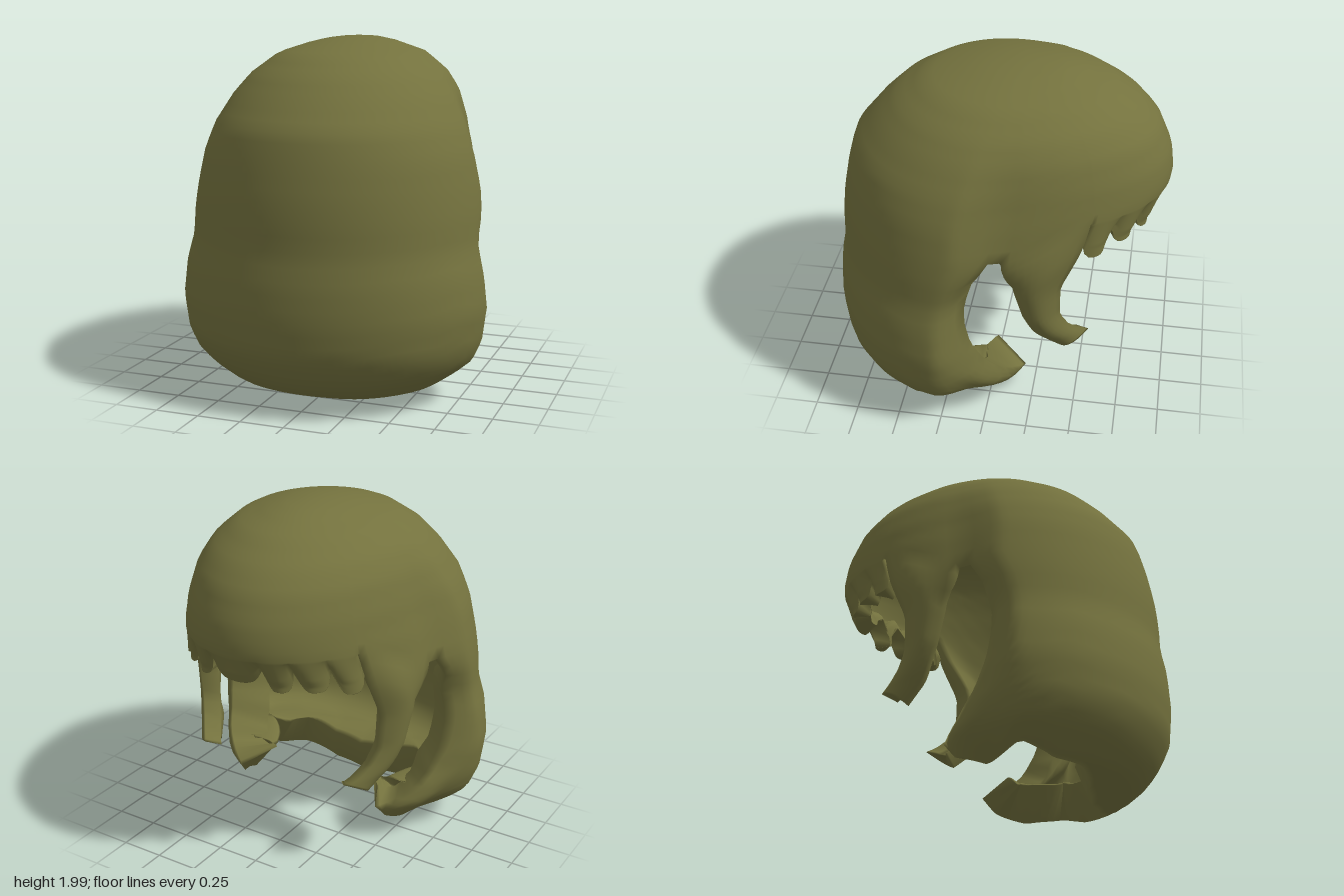
import * as THREE from 'three';

// Head outline by height: y, half width, back reach (+z), face reach (-z), centre z
const OUTLINE = [
  [2.0, 0, -0.12, -0.12, -0.12], [1.995, 0.11, 0.02, -0.29, -0.12], [1.97, 0.23, 0.19, -0.42, -0.08],
  [1.91, 0.41, 0.42, -0.6, -0.04], [1.8, 0.55, 0.59, -0.77, 0], [1.69, 0.64, 0.7, -0.87, 0.03],
  [1.53, 0.73, 0.83, -0.94, 0.07], [1.38, 0.785, 0.87, -0.96, 0.1], [1.2, 0.825, 0.905, -0.87, 0.1],
  [1.05, 0.845, 0.92, -0.86, 0.12], [0.9, 0.845, 0.92, -0.8, 0.15], [0.75, 0.88, 0.95, -0.75, 0.18],
  [0.55, 0.9, 0.96, -0.65, 0.2], [0.36, 0.875, 0.94, -0.5, 0.2], [0.25, 0.83, 0.88, -0.42, 0.2],
  [0.18, 0.75, 0.83, -0.4, 0.2], [0.1, 0.64, 0.74, -0.4, 0.2], [0.01, 0.48, 0.5, -0.4, 0.2],
];
// Side lock by height: y, centre z, half depth, half width of the head there
const SIDE_LOCK = [
  [1.3, -0.335, 0.225, 0.765], [1.2, -0.32, 0.2, 0.76], [0.95, -0.285, 0.125, 0.74],
  [0.75, -0.31, 0.1, 0.72], [0.66, -0.35, 0.105, 0.7], [0.6, -0.39, 0.12, 0.68], [0.56, -0.43, 0.135, 0.66], [0.46, -0.52, 0.12, 0.63],
];
// Front edge of the back hair: y, z
const BACK_EDGE = [[1.18, -0.04], [1.05, 0.05], [0.87, 0.1], [0.75, 0.1], [0.6, 0.07], [0.45, 0], [0.33, -0.1], [0.24, -0.21], [0.01, -0.19]];
// Lower hem of the back hair: fraction from side to middle, y
const BACK_HEM = [[0, 0.24], [0.06, 0.15], [0.2, 0.09], [0.35, 0.15], [0.48, 0.09], [0.62, 0.08], [0.8, 0.03], [1, 0.01]];
// Fringe locks: start angle, end angle, tip height
const FRINGE = [[-0.22, 0.22, 1.2], [0.22, 0.44, 1.17], [0.44, 0.68, 1.17], [0.68, 0.9, 1.14]];
const A_LOCK = 0.9, A_LOCK_END = 1.36, A_BACK = 1.43;
const UPPER = 22, LOWER = 20;
const { lerp, smoothstep } = THREE.MathUtils;

// Linear lookup in a table sorted by its first column, either way
function look(table, key, col) {
  const up = table[0][0] < table[table.length - 1][0] ? 1 : -1;
  if ((key - table[0][0]) * up <= 0) return table[0][col];
  for (let i = 1; i < table.length; i++) {
    const a = table[i - 1], b = table[i];
    if ((key - b[0]) * up <= 0) return lerp(a[col], b[col], (key - a[0]) / (b[0] - a[0]));
  }
  return table[table.length - 1][col];
}

// Point on the head, narrowed from the temples towards the face
function onHead(angle, y) {
  const [w, back, face, c] = [1, 2, 3, 4].map((k) => look(OUTLINE, y, k));
  const k = Math.cos(angle);
  const narrow = 1 - 0.1 * smoothstep(k, -0.1, 0.22) * (1 - smoothstep(y, 1.4, 1.9));
  return new THREE.Vector3(w * narrow * Math.sin(angle), y, c - k * (k > 0 ? c - face : back - c));
}

// Height at which the hair divides into locks
const splitY = (a) => 1.36 - 0.18 * smoothstep(a, 0.9, 1.36);

// Columns of one half, from the middle of the fringe round to the middle of the back
function halfColumns() {
  const cols = [];
  for (let i = 0; i <= 40; i++) {
    const a = (i / 40) * 0.885;
    const [s, e, tip] = FRINGE.find((f) => a < f[1]);
    const q = Math.abs((2 * (a - s)) / (e - s) - 1);
    cols.push({ kind: 'fringe', a, q, hem: lerp(tip, 1.29, q ** 4) });
  }
  for (let i = 0; i <= 10; i++) {
    const q = i / 5 - 1;
    cols.push({ kind: 'lock', a: lerp(A_LOCK, A_LOCK_END, i / 10), q, hem: 0.51 - 0.05 * q });
  }
  for (let i = 0; i <= 36; i++) {
    const f = i / 36;
    cols.push({ kind: 'back', a: lerp(A_BACK, Math.PI, f), f, hem: look(BACK_HEM, f, 1) });
  }
  return cols;
}

function columnPoint(col, y, t) {
  const head = onHead(col.a, y);
  if (t === 0) return head;
  if (col.kind === 'fringe') {
    // Each fringe lock swells in the middle and sinks at the gaps
    const swell = 1 + 0.05 * Math.min(1, t * 2) * (0.4 - col.q ** 2);
    head.x *= swell;
    head.z *= swell;
    return head;
  }
  if (col.kind === 'lock') {
    // Hanging lock sweeping towards the face, rounded across, blended in from the head
    const z = look(SIDE_LOCK, y, 1) + look(SIDE_LOCK, y, 2) * col.q;
    const x = look(SIDE_LOCK, y, 3) * Math.sqrt(1 - ((0.1 - z) / 1.06) ** 2) + 0.015 - 0.06 * col.q ** 2;
    return head.lerp(new THREE.Vector3(x, y, z), Math.min(1, t * 5));
  }
  // Back hair, its front edge following the face opening and rolling inwards
  const c = look(OUTLINE, y, 4), face = look(OUTLINE, y, 3);
  const start = Math.acos((c - look(BACK_EDGE, y, 1)) / (c - face));
  const p = onHead(lerp(start, Math.PI, col.f), y);
  p.x -= 0.08 * Math.max(0, 1 - col.f / 0.14) ** 2 * smoothstep(t, 0, 0.2);
  return p;
}

// Depth of the hair: thin on the head, full along the rolled rims
function hairDepth(col, t) {
  if (col.kind !== 'back') return lerp(0.05, 0.1, Math.min(1, t * 3));
  const edge = (1 - smoothstep(col.f, 0.04, 0.2)) * smoothstep(t, 0, 0.3);
  return 0.05 + 0.19 * Math.max(edge, smoothstep(t, 0.6, 0.95));
}

// Outer sheet of hair, cut between the locks
function hairSheet() {
  const half = halfColumns();
  const cols = half.map((c) => ({ ...c, side: 1 }));
  for (let i = half.length - 2; i > 0; i--) cols.push({ ...half[i], side: -1 });
  const rows = UPPER + LOWER, n = cols.length;
  const pos = [0, 2, -0.12], depth = [0.05], index = [];
  for (const col of cols) {
    const y0 = splitY(col.a);
    for (let r = 1; r <= rows; r++) {
      const t = Math.max(0, (r - UPPER) / LOWER);
      const y = r <= UPPER ? 2 - (2 - y0) * (r / UPPER) ** 1.8 : lerp(y0, col.hem, 1 - (1 - t) ** 1.5);
      const p = columnPoint(col, y, t);
      pos.push(p.x * col.side, p.y, p.z);
      depth.push(hairDepth(col, t));
    }
  }
  const id = (c, r) => 1 + (c % n) * rows + r - 1;
  for (let c = 0; c < n; c++) {
    index.push(0, id(c + 1, 1), id(c, 1));
    const end = cols[c].kind === cols[(c + 1) % n].kind ? rows : UPPER;
    for (let r = 1; r < end; r++) {
      const A = id(c, r), B = id(c + 1, r), C = id(c + 1, r + 1), D = id(c, r + 1);
      index.push(A, B, C, A, C, D);
    }
  }
  return { pos, depth, index };
}

// Give a sheet an inner wall and close the rim between the two
function solidify({ pos, depth, index }) {
  const sheet = new THREE.BufferGeometry();
  sheet.setAttribute('position', new THREE.Float32BufferAttribute(pos, 3));
  sheet.setIndex(index);
  sheet.computeVertexNormals();
  const nor = sheet.attributes.normal.array, n = depth.length;
  const all = pos.concat(pos.map((v, i) => v - nor[i] * depth[Math.floor(i / 3)]));
  const faces = index.slice();
  const edges = new Set();
  for (let i = 0; i < index.length; i += 3) {
    const t = index.slice(i, i + 3);
    faces.push(t[0] + n, t[2] + n, t[1] + n);
    t.forEach((a, k) => edges.add(a + '_' + t[(k + 1) % 3]));
  }
  for (const e of edges) {
    const [a, b] = e.split('_').map(Number);
    if (!edges.has(b + '_' + a)) faces.push(b, a, a + n, b, a + n, b + n);
  }
  const solid = new THREE.BufferGeometry();
  solid.setAttribute('position', new THREE.Float32BufferAttribute(all, 3));
  solid.setIndex(faces);
  solid.computeVertexNormals();
  return solid;
}

export function createModel() {
  const olive = new THREE.MeshStandardMaterial({ color: 0x74723e, side: THREE.DoubleSide });
  olive.name = 'olive hair';
  const hair = new THREE.Mesh(solidify(hairSheet()), olive);
  hair.name = 'bobHair';
  const model = new THREE.Group();
  model.name = 'hairpiece';
  model.add(hair);
  return model;
}
